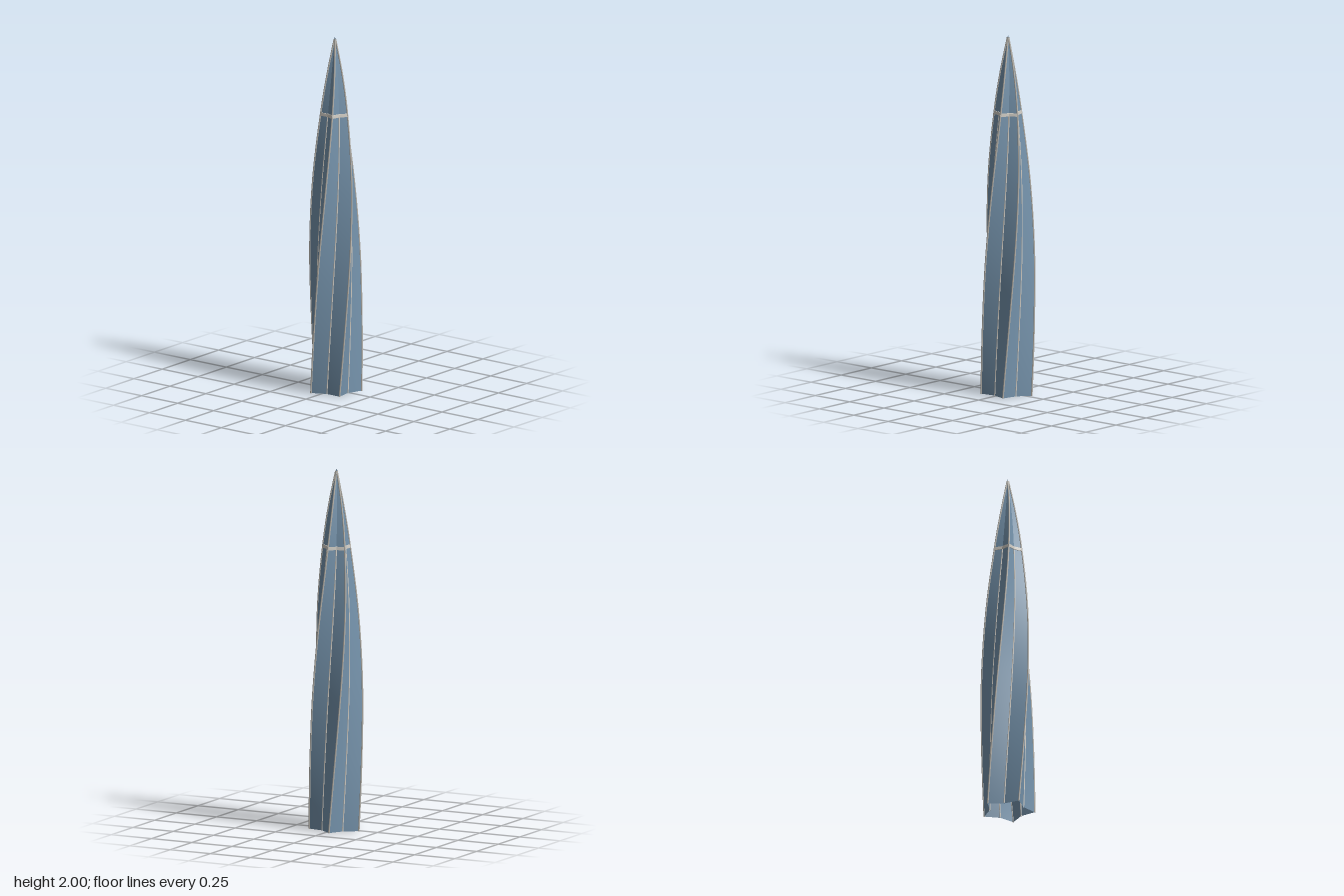
import * as THREE from 'three';

const SIDES = 5, STEPS = 60, VALLEY = 0.67, BAND_Y = 1.567;
const AXIS_X = 0.005; // the twisted base is lopsided, so the axis sits off centre
const rad = THREE.MathUtils.degToRad;

// Ridge radius against height
const profile = new THREE.SplineCurve([
  [0.148, 0], [0.148, 0.4], [0.143, 0.8], [0.12, 1.2],
  [0.078, 1.57], [0.042, 1.8], [0.001, 2],
].map(([r, y]) => new THREE.Vector2(r, y)));
const samples = profile.getPoints(STEPS);

// Radius at any height, read from the sampled profile
function radiusAt(y) {
  let i = 1;
  while (i < STEPS && samples[i].y < y) i++;
  const a = samples[i - 1], b = samples[i];
  return THREE.MathUtils.mapLinear(y, a.y, b.y, a.x, b.x);
}

// Point on corner n of the twisted star: even corners are ridges, odd are valleys
function corner(n, r, y, offset = 0) {
  const a = rad(42 - 33 * y + 36 * n);
  const d = (n % 2 ? r * VALLEY : r) + offset;
  return new THREE.Vector3(AXIS_X + d * Math.cos(a), y, d * Math.sin(a));
}

// Surface lofted between two lists of points, a few columns wide
function loft(listA, listB, columns = 2) {
  const pos = [], index = [], w = columns + 1;
  listA.forEach((p, i) => {
    for (let c = 0; c <= columns; c++) {
      pos.push(...p.clone().lerp(listB[i], c / columns).toArray());
      if (i && c) {
        const k = i * w + c;
        index.push(k - w - 1, k - 1, k, k - w - 1, k, k - w);
      }
    }
  });
  const g = new THREE.BufferGeometry();
  g.setAttribute('position', new THREE.Float32BufferAttribute(pos, 3));
  g.setIndex(index);
  g.computeVertexNormals();
  return g;
}

// The same surface with hard edges
function facetedLoft(listA, listB) {
  const g = loft(listA, listB, 1).toNonIndexed();
  g.computeVertexNormals();
  return g;
}

export function createModel() {
  const model = new THREE.Group();
  model.name = 'twistedTower';
  const material = (name, color) =>
    new THREE.MeshStandardMaterial({ name, color, side: THREE.DoubleSide });
  const glass = material('blue glass', 0x7593ac);
  const trim = material('grey trim', 0xb8b5ae);
  const light = material('light grey lines', 0xd2cec6);

  const add = (name, geometry, mat) => {
    const mesh = new THREE.Mesh(geometry, mat);
    mesh.name = name;
    model.add(mesh);
  };
  const tube = (points, radius) =>
    new THREE.TubeGeometry(new THREE.CatmullRomCurve3(points), STEPS, radius, 12);

  // Height and outward offset of the band's section: a shallow ledge
  const bandSection = [
    [BAND_Y - 0.009, 0], [BAND_Y - 0.009, 0.005], [BAND_Y + 0.009, 0.005], [BAND_Y + 0.009, 0],
  ];
  const ridgeSamples = samples.slice(0, -1);
  const valleySamples = samples.filter((s) => s.y < BAND_Y);
  valleySamples.push(new THREE.Vector2(radiusAt(BAND_Y), BAND_Y));

  for (let n = 0; n < SIDES * 2; n++) {
    // Glass panel between a ridge and its neighbouring valley; the base is open
    const edge = (k) => samples.map((s) => corner(k, s.x, s.y));
    add('facadePanel', loft(edge(n), edge(n + 1)), glass);

    // Light band round the foot of the spire
    const bandEdge = (k) => bandSection.map(([y, out]) => corner(k, radiusAt(y), y, out));
    add('spireBand', facetedLoft(bandEdge(n), bandEdge(n + 1)), light);

    if (n % 2 === 0) {
      // Grey rib along each ridge
      add('ridgeRib', tube(ridgeSamples.map((s) => corner(n, s.x, s.y)), 0.0045), trim);
    } else {
      // Fine light line down each valley
      add('valleyLine', tube(valleySamples.map((s) => corner(n, s.x, s.y)), 0.0038), light);
    }
  }
  return model;
}
